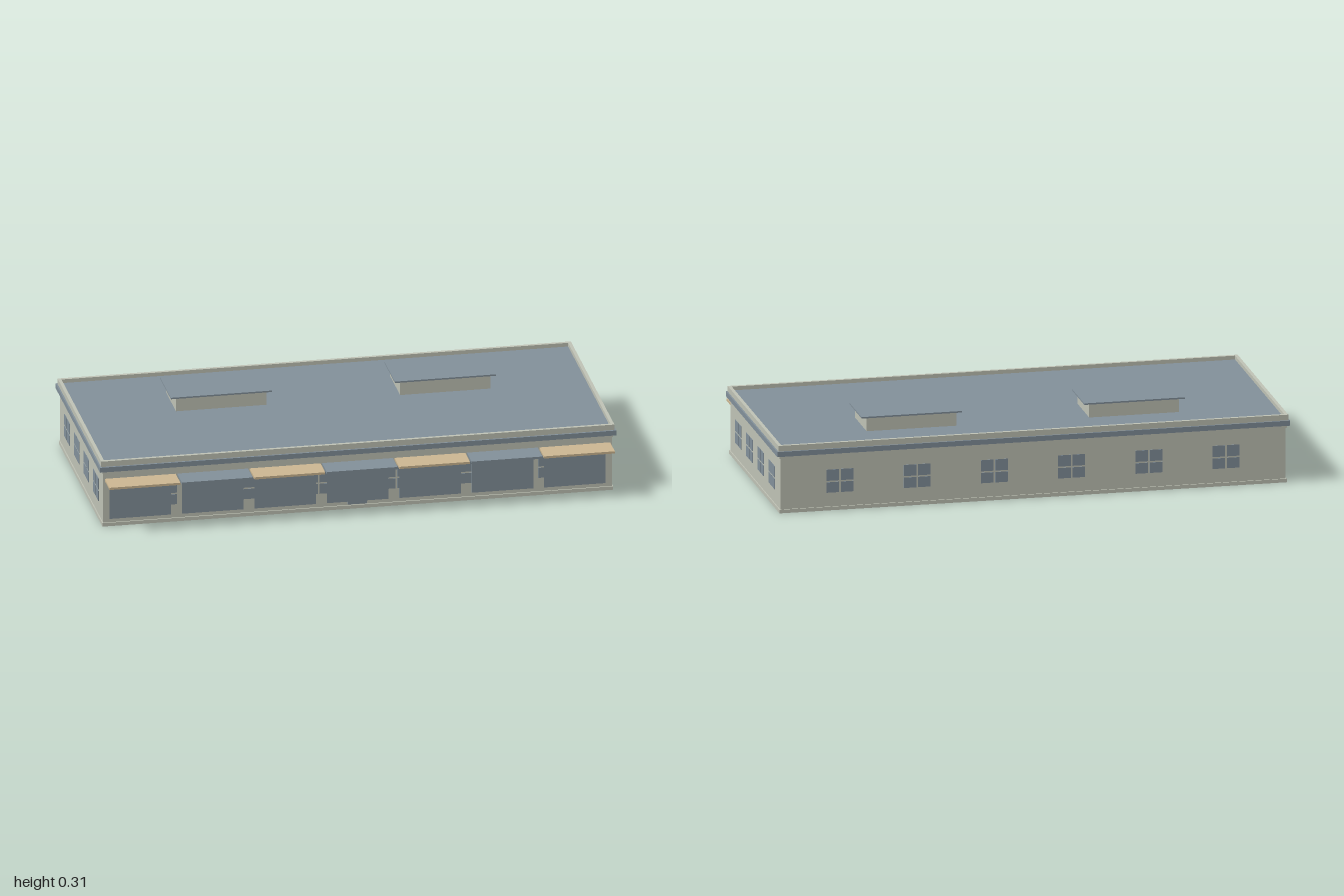
import * as THREE from 'three';

const mat = (name, color) => Object.assign(new THREE.MeshStandardMaterial({ color }), { name });

export function createModel() {
  const root = new THREE.Group();
  root.name = 'shopBuilding';
  const wall = mat('paleWall', 0xbfc2b5);
  const slate = mat('slateGrey', 0x82909a);
  const tan = mat('tanAwning', 0xccb792);

  // Box from its limits on each axis
  const box = (name, m, [x0, x1], [y0, y1], [z0, z1], parent = root) => {
    const mesh = new THREE.Mesh(new THREE.BoxGeometry(x1 - x0, y1 - y0, z1 - z0), m);
    mesh.position.set((x0 + x1) / 2, (y0 + y1) / 2, (z0 + z1) / 2);
    mesh.name = name;
    parent.add(mesh);
    return mesh;
  };

  // Main block, from plinth to roof
  const zc = -0.04, front = 0.387, back = -0.467, side = 0.985;
  const slab = (name, m, hx, hz, y0, y1) => box(name, m, [-hx, hx], [y0, y1], [zc - hz, zc + hz]);
  slab('plinth', wall, 0.989, 0.432, 0, 0.014);
  slab('walls', wall, side, 0.427, 0.014, 0.225);
  slab('wallTopBand', wall, 0.989, 0.431, 0.215, 0.225);
  slab('cornice', slate, 1, 0.441, 0.225, 0.245);
  slab('roofDeck', slate, 0.982, 0.422, 0.245, 0.252);

  // Parapet ring around the roof
  const rect = (T, hx, hz) => {
    const s = new T();
    s.moveTo(-hx, -hz); s.lineTo(hx, -hz); s.lineTo(hx, hz); s.lineTo(-hx, hz); s.closePath();
    return s;
  };
  const ring = rect(THREE.Shape, 0.994, 0.434);
  ring.holes.push(rect(THREE.Path, 0.981, 0.421));
  const parapet = new THREE.Mesh(
    new THREE.ExtrudeGeometry(ring, { depth: 0.022, bevelEnabled: false }).rotateX(-Math.PI / 2), wall);
  parapet.position.set(0, 0.245, zc);
  parapet.name = 'parapet';
  root.add(parapet);

  // Roof units with overhanging caps
  for (const x of [-0.434, 0.434]) {
    box('roofUnit', wall, [x - 0.175, x + 0.175], [0.25, 0.305], [-0.293, -0.095]);
    box('roofUnitCap', slate, [x - 0.196, x + 0.196], [0.305, 0.311], [-0.301, -0.089]);
  }

  // Four-pane windows, turned to face outwards
  const addWindow = (x, z, turn) => {
    const g = new THREE.Group();
    g.name = 'window';
    for (const s of [-1, 1]) {
      const xs = [s * 0.028 - 0.0245, s * 0.028 + 0.0245];
      box('pane', slate, xs, [0.069, 0.110], [-0.001, 0.002], g);
      box('pane', slate, xs, [0.116, 0.160], [-0.001, 0.002], g);
    }
    g.position.set(x, 0, z);
    g.rotation.y = turn;
    root.add(g);
  };
  for (let i = 0; i < 6; i++) {
    const x = (i - 2.5) * 0.301;
    addWindow(x, front, 0);
    addWindow(x, back, Math.PI);
  }
  for (let i = 0; i < 4; i++) {
    const z = 0.247 - i * 0.1905;
    addWindow(side, z, Math.PI / 2);
    addWindow(-side, z, -Math.PI / 2);
  }

  // Shop windows under awnings of alternating colour
  for (let i = 0; i < 7; i++) {
    const x = (i - 3) * 0.2805;
    box('shopWindow', slate, [x - 0.119, x + 0.119], [0.029, 0.160], [front - 0.001, front + 0.004]);
    box('awning', i % 2 ? slate : tan, [x - 0.137, x + 0.137], [0.184, 0.193], [front - 0.002, 0.481]);
  }

  // Central door
  box('door', slate, [-0.038, 0.035], [0.018, 0.15], [front, front + 0.006]);

  return root;
}
